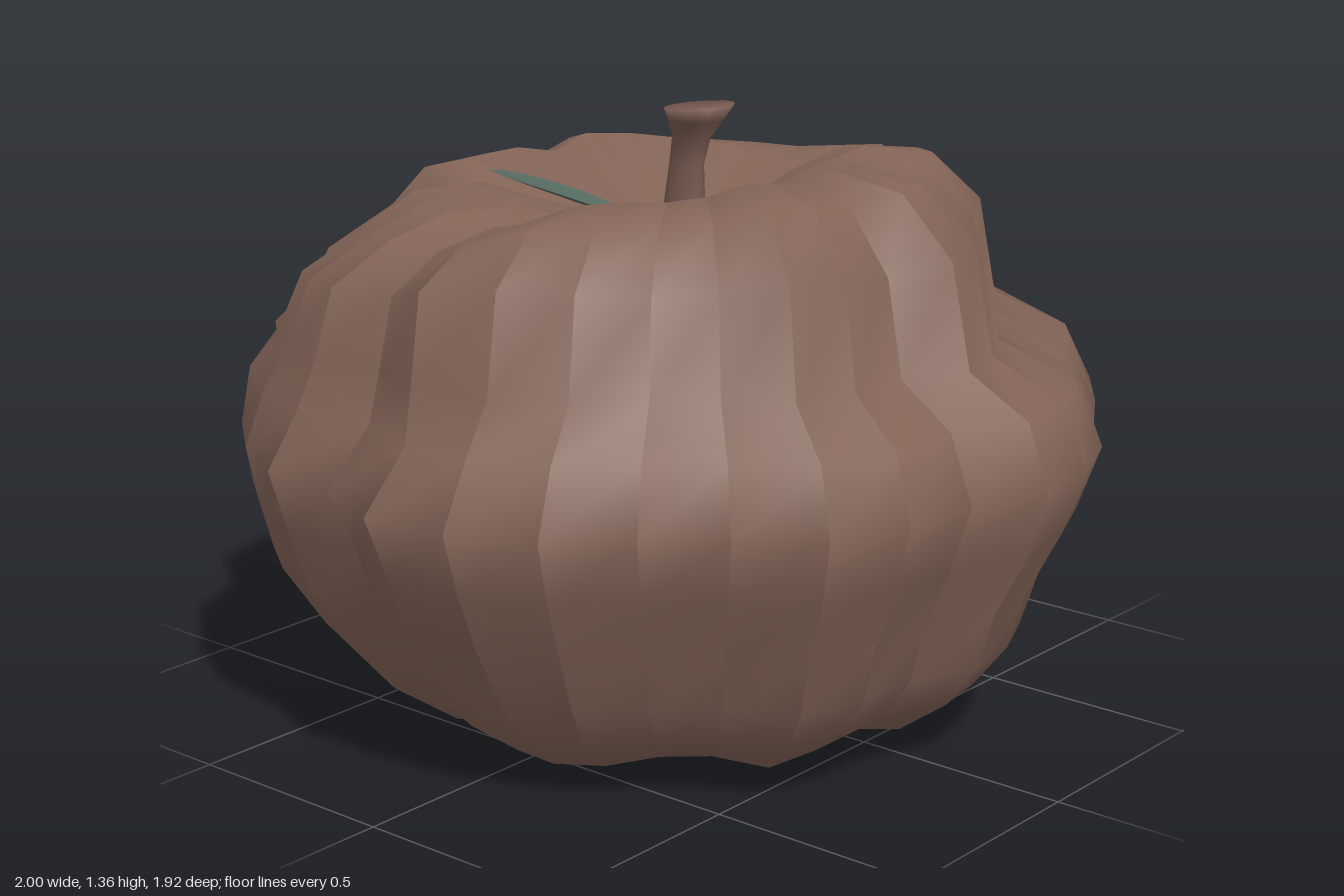
import * as THREE from 'three';
import { mergeVertices } from 'three/addons/utils/BufferGeometryUtils.js';

const SEG = 32;

// Rows of [radius, height] from the underside to the stem hollow
const foot = [[0, 0.09], [0.2, 0.045], [0.39, 0]];
const sideProfile = [...foot, [0.57, 0.03], [0.71, 0.13], [0.78, 0.25], [0.89, 0.39], [0.94, 0.52], [1, 0.66],
  [0.88, 0.78], [0.86, 0.9], [0.83, 1.08], [0.71, 1.15], [0.54, 1.165], [0.36, 1.14], [0, 1.05]];
const frontProfile = [...foot, [0.6, 0.05], [0.72, 0.14], [0.8, 0.24], [0.84, 0.37], [0.92, 0.52], [0.96, 0.66],
  [0.91, 0.8], [0.76, 0.88], [0.71, 1.1], [0.58, 1.225], [0.4, 1.25], [0.2, 1.18], [0, 1.05]];
const backProfile = [...foot, [0.57, 0.04], [0.72, 0.13], [0.84, 0.24], [0.91, 0.37], [0.94, 0.52], [0.95, 0.66],
  [0.96, 0.79], [0.9, 0.87], [0.84, 0.94], [0.68, 1.055], [0.61, 1.15], [0.5, 1.18], [0, 1.05]];

// Outer radius of each rib edge, from the front round through +x
const ribs = [0.95, 0.94, 0.925, 0.895, 0.92, 0.97, 0.97, 0.935, 1, 0.985, 0.985, 0.985, 0.99, 0.995, 0.99, 0.92,
  0.96, 0.97, 0.99, 0.93, 0.985, 0.985, 0.985, 0.94, 1, 0.995, 0.97, 0.925, 0.92, 0.965, 0.935, 0.9];

// Closed skin made of upright strips: hard edges between strips, or smooth all round
function skin(rows, cols, point, smooth) {
  const pos = [], index = [];
  for (let j = 0; j < cols; j++) for (let i = 0; i < rows; i++) {
    const a = pos.length / 3;
    pos.push(...point(i, j), ...point(i, (j + 1) % cols));
    if (i < rows - 1) index.push(a, a + 1, a + 3, a, a + 3, a + 2);
  }
  let g = new THREE.BufferGeometry();
  g.setAttribute('position', new THREE.Float32BufferAttribute(pos, 3));
  g.setIndex(index);
  if (smooth) g = mergeVertices(g);
  g.computeVertexNormals();
  return g;
}

function bodyPoint(i, j) {
  const a = (j / SEG) * Math.PI * 2;
  const front = Math.cos(a) >= 0;
  // the stepped front spreads further round than the back
  const c = Math.abs(Math.cos(a)) ** (front ? 0.5 : 1), s = 1 - c;
  const end = front ? frontProfile : backProfile;
  const mix = (n) => sideProfile[i][n] * s + end[i][n] * c;
  const rib = ribs[j] / (s * sideProfile[8][0] + c * end[8][0]);
  // shoulders pinch in on the diagonals, more on the +x side
  const pinch = i > 9 && i < 14 ? 1 - (0.05 + 0.04 * Math.sin(a)) * Math.abs(Math.sin(2 * a)) : 1;
  // grooves cut deeper away from the widest row
  const r = mix(0) * pinch * rib ** (i === 8 ? 1 : 1.3);
  // the ribs also scallop the rim and the underside
  const lift = i > 10 && i < 15 ? (rib - 0.98) * 0.4 : i > 0 && i < 4 ? (1 - rib) * 0.4 : 0;
  return [r * Math.sin(a), Math.max(0, mix(1) + lift), r * Math.cos(a)];
}

// Stem rows: height, centre z, radius in x, radius in z
const stemRows = [[1.03, -0.015, 0.05, 0.06], [1.12, -0.012, 0.035, 0.052], [1.22, -0.005, 0.022, 0.046],
  [1.28, 0.008, 0.026, 0.05], [1.32, 0.02, 0.055, 0.065], [1.35, 0.03, 0.083, 0.075], [1.345, 0.03, 0, 0]];

function stemPoint(i, j) {
  const a = (j / 12) * Math.PI * 2;
  const [y, z, rx, rz] = stemRows[i];
  return [rx * Math.sin(a), y + (i === 5 ? 0.006 * Math.cos(a) : 0), z + rz * Math.cos(a)];
}

// Leaf: a thin blade bent along its midrib, rising out of the hollow
function leafGeometry() {
  const g = new THREE.PlaneGeometry(1, 1, 4, 10);
  const p = g.attributes.position;
  for (let k = 0; k < p.count; k++) {
    const across = p.getX(k) * 2, t = p.getY(k) + 0.5;
    const half = 0.07 * Math.sqrt(Math.max(0, Math.sin(Math.PI * (0.04 + 0.96 * t ** 1.15)))) * across;
    p.setXYZ(k, -0.03 - 0.3 * t + half * 0.68, 1.06 + 0.16 * t + 0.015 * across * across * Math.sin(Math.PI * t),
      -0.01 - 0.28 * t - half * 0.73);
  }
  g.computeVertexNormals();
  return g;
}

export function createModel() {
  const group = new THREE.Group();
  const add = (name, geometry, color, side = THREE.FrontSide) => {
    const mesh = new THREE.Mesh(geometry, new THREE.MeshStandardMaterial({ color, side }));
    mesh.name = name;
    group.add(mesh);
  };
  add('pumpkinBody', skin(sideProfile.length, SEG, bodyPoint, false), 0x836457);
  add('stem', skin(stemRows.length, 12, stemPoint, true), 0x785b50);
  add('leaf', leafGeometry(), 0x55695f, THREE.DoubleSide);
  return group;
}
